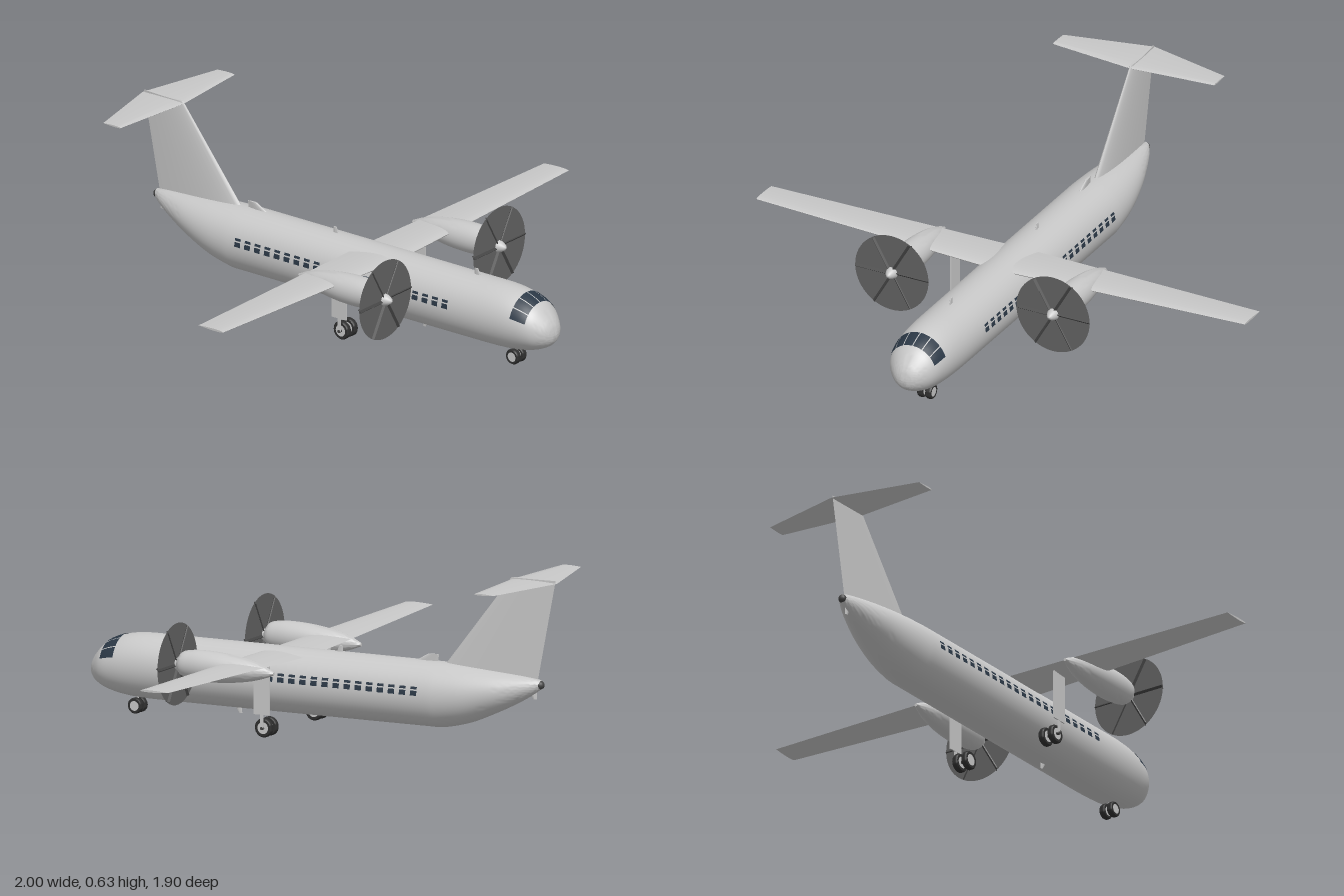
import * as THREE from 'three';
import { toCreasedNormals } from 'three/addons/utils/BufferGeometryUtils.js';

const paint = (name, color, side = THREE.FrontSide) => {
  const m = new THREE.MeshStandardMaterial({ color, side });
  m.name = name;
  return m;
};

// Skin through closed rings of points, capped at both ends, facing outward
function loft(rings, crease = 0.7) {
  const n = rings[0].length, pts = rings.flat(), idx = [];
  for (let r = 0; r < rings.length - 1; r++) {
    for (let i = 0; i < n; i++) {
      const a = r * n + i, b = r * n + (i + 1) % n;
      idx.push(a, b, b + n, a, b + n, a + n);
    }
  }
  const last = (rings.length - 1) * n;
  for (let i = 1; i < n - 1; i++) {
    idx.push(0, i + 1, i, last, last + i, last + i + 1);
  }
  let volume = 0;
  const c = new THREE.Vector3();
  for (let i = 0; i < idx.length; i += 3) {
    volume += pts[idx[i]].dot(c.crossVectors(pts[idx[i + 1]], pts[idx[i + 2]]));
  }
  if (volume < 0) idx.reverse();
  const g = new THREE.BufferGeometry().setFromPoints(pts);
  g.setIndex(idx);
  return toCreasedNormals(g, crease);
}

// Smooth interpolation of stations [z, top, bottom, halfWidth], z descending
function sample(st, z) {
  let i = 0;
  while (i < st.length - 2 && z < st[i + 1][0]) i++;
  const slope = (k, c) => {
    const p = st[Math.max(k - 1, 0)], q = st[Math.min(k + 1, st.length - 1)];
    return (q[c] - p[c]) / (q[0] - p[0]);
  };
  const d = st[i + 1][0] - st[i][0], t = (z - st[i][0]) / d, t2 = t * t, t3 = t2 * t;
  return [1, 2, 3].map((c) => (2 * t3 - 3 * t2 + 1) * st[i][c] + (t3 - 2 * t2 + t) * d * slope(i, c)
    + (3 * t2 - 2 * t3) * st[i + 1][c] + (t3 - t2) * d * slope(i + 1, c));
}

// Point on such a hull; angle is measured from the top towards +x
function hullPoint(st, z, angle, lift = 0) {
  const [top, bottom, w] = sample(st, z);
  return new THREE.Vector3((w + lift) * Math.sin(angle),
    (top + bottom) / 2 + ((top - bottom) / 2 + lift) * Math.cos(angle), z);
}

function hull(st, sides) {
  const rings = [];
  for (let i = 0; i < st.length - 1; i++) {
    for (let k = 0; k < 5; k++) rings.push(st[i][0] + (st[i + 1][0] - st[i][0]) * k / 5);
  }
  rings.push(st[st.length - 1][0]);
  return loft(rings.map((z) => Array.from({ length: sides },
    (_, i) => hullPoint(st, z, i / sides * Math.PI * 2))), 0.9);
}

// Curved pane lying on a hull
function pane(st, z0, z1, a0, a1) {
  const g = new THREE.PlaneGeometry(1, 1, 4, 4), p = g.attributes.position;
  for (let i = 0; i < p.count; i++) {
    const v = hullPoint(st, z0 + (z1 - z0) * (p.getX(i) + 0.5), a0 + (a1 - a0) * (p.getY(i) + 0.5), 0.0018);
    p.setXYZ(i, v.x, v.y, v.z);
  }
  g.computeVertexNormals();
  return g;
}

// Airfoil surface from sections [span, leading z, trailing z, offset, half thickness]
function foil(sections, upright) {
  const n = 28;
  return loft(sections.map(([span, le, te, off, half]) => Array.from({ length: n }, (_, i) => {
    const a = i / n * Math.PI * 2, u = (1 - Math.cos(a)) / 2;
    const t = off + Math.sign(Math.sin(a)) * half * 2.6 * Math.sqrt(u) * (1 - u);
    const z = le + (te - le) * u;
    return upright ? new THREE.Vector3(t, span, z) : new THREE.Vector3(span, t, z);
  })));
}

const FUSELAGE = [
  [0.948, 0.154, 0.144, 0.004], [0.94, 0.185, 0.122, 0.033], [0.92, 0.216, 0.102, 0.06],
  [0.88, 0.256, 0.083, 0.091], [0.82, 0.283, 0.068, 0.106], [0.74, 0.296, 0.06, 0.113],
  [0.62, 0.297, 0.058, 0.116], [-0.45, 0.297, 0.058, 0.116], [-0.5, 0.296, 0.06, 0.115],
  [-0.6, 0.292, 0.084, 0.105], [-0.7, 0.285, 0.126, 0.085], [-0.78, 0.278, 0.165, 0.06],
  [-0.85, 0.27, 0.205, 0.033], [-0.885, 0.264, 0.23, 0.014],
];
const NACELLE = [
  [0.415, 0.293, 0.235, 0.028], [0.4, 0.31, 0.222, 0.042], [0.36, 0.319, 0.213, 0.05],
  [0.3, 0.321, 0.208, 0.055], [0.22, 0.316, 0.211, 0.053], [0.13, 0.302, 0.223, 0.04],
  [0.07, 0.284, 0.239, 0.022], [0.03, 0.266, 0.254, 0.006],
];

export function createModel() {
  const body = paint('body grey', 0xc8c8c8);
  const glass = paint('window glass', 0x2b3846, THREE.DoubleSide);
  const disc = paint('propeller blur', 0x626262, THREE.DoubleSide);
  const dark = paint('blade grey', 0x454545);
  const rubber = paint('tyre rubber', 0x303030);

  const model = new THREE.Group();
  const add = (name, geo, mat, parent = model, x = 0, y = 0, z = 0) => {
    const m = new THREE.Mesh(geo, mat);
    m.name = name;
    m.position.set(x, y, z);
    parent.add(m);
    return m;
  };
  const rad = THREE.MathUtils.degToRad;

  add('fuselage', hull(FUSELAGE, 48), body);
  add('tailCone', new THREE.SphereGeometry(0.016, 16, 10), dark, model, 0, 0.246, -0.882);

  // Cockpit panes
  for (let i = 0; i < 6; i++) {
    const a = -70 + i * 23.6;
    add('cockpitWindow', pane(FUSELAGE, 0.875, 0.815, rad(a), rad(a + 21.5)), glass);
  }
  // Cabin windows, each with a narrow upper and a taller lower pane
  for (const s of [-1, 1]) {
    for (let i = 0; i < 22; i++) {
      const z = 0.54 - i * 0.0453;
      add('cabinWindow', pane(FUSELAGE, z, z - 0.026, s * rad(70.5), s * rad(75)), glass);
      add('cabinWindow', pane(FUSELAGE, z, z - 0.026, s * rad(77.5), s * rad(86)), glass);
    }
  }

  // Flying surfaces
  add('wing', foil([[-1, 0.213, 0.1, 0.292, 0.004], [0, 0.242, 0.05, 0.273, 0.013],
    [1, 0.213, 0.1, 0.292, 0.004]]), body);
  add('fin', foil([[0.26, -0.472, -0.872, 0, 0.018], [0.632, -0.765, -0.945, 0, 0.007]], true), body);
  add('tailplane', foil([[-0.33, -0.79, -0.87, 0.624, 0.003], [0, -0.762, -0.95, 0.622, 0.006],
    [0.33, -0.79, -0.87, 0.624, 0.003]]), body);

  // Blade antennas above and below
  add('frontAntenna', foil([[0.285, 0.605, 0.575, 0, 0.003], [0.32, 0.592, 0.575, 0, 0.002]], true), body);
  add('middleAntenna', foil([[0.285, -0.045, -0.075, 0, 0.003], [0.32, -0.06, -0.075, 0, 0.002]], true), body);
  add('dorsalFairing', foil([[0.285, -0.36, -0.462, 0, 0.005], [0.322, -0.425, -0.468, 0, 0.004]], true), body);
  add('bellyAntenna', foil([[0.065, 0.37, 0.34, 0, 0.003], [0.036, 0.35, 0.338, 0, 0.002]], true), body);
  add('tailAntenna', foil([[0.225, -0.835, -0.868, 0, 0.003], [0.192, -0.852, -0.868, 0, 0.002]], true), body);

  const tyreGeo = (r) => {
    const w = 0.011, h = r * 0.62;
    const profile = [[h, -w], [r * 0.88, -w], [r, -w * 0.5], [r, w * 0.5], [r * 0.88, w], [h, w]];
    return toCreasedNormals(new THREE.LatheGeometry(
      profile.map(([a, b]) => new THREE.Vector2(a, b)), 28), 0.9);
  };
  const wheelPair = (name, x, z, r, gap) => {
    const g = new THREE.Group();
    g.name = name;
    g.position.set(x, r, z);
    for (const s of [-1, 1]) {
      add('tyre', tyreGeo(r), rubber, g, s * gap).rotation.z = Math.PI / 2;
      add('wheelHub', new THREE.CylinderGeometry(r * 0.63, r * 0.63, 0.019, 24), body, g, s * gap)
        .rotation.z = Math.PI / 2;
    }
    add('axle', new THREE.CylinderGeometry(0.005, 0.005, gap * 2, 10), dark, g).rotation.z = Math.PI / 2;
    model.add(g);
    return g;
  };

  // Nose gear
  const nose = wheelPair('noseGear', 0, 0.766, 0.029, 0.0165);
  add('noseStrut', new THREE.CylinderGeometry(0.005, 0.005, 0.05, 10), body, nose, 0, 0.022, 0);

  for (const s of [-1, 1]) {
    // Engine with spinner, blur disc and six blades
    add('nacelle', hull(NACELLE, 32), body, model, s * 0.33);
    const prop = new THREE.Group();
    prop.name = 'propeller';
    prop.position.set(s * 0.33, 0.262, 0.425);
    model.add(prop);
    const spinner = [[0.024, -0.012], [0.023, 0], [0.017, 0.016], [0.009, 0.028], [0, 0.033]]
      .map(([r, h]) => new THREE.Vector2(r, h));
    add('spinner', new THREE.LatheGeometry(spinner, 24), body, prop).rotation.x = Math.PI / 2;
    add('propellerDisc', new THREE.CircleGeometry(0.15, 64), disc, prop);
    for (let i = 0; i < 6; i++) {
      const arm = new THREE.Group();
      arm.rotation.z = i * Math.PI / 3;
      prop.add(arm);
      add('blade', new THREE.BoxGeometry(0.13, 0.016, 0.004), dark, arm, 0.083).rotation.x = 0.75;
    }
    // Main gear hung from a flat leg under the wing
    const gear = wheelPair('mainGear', s * 0.191, 0.134, 0.035, 0.02);
    add('gearLeg', new THREE.BoxGeometry(0.005, 0.19, 0.066), body, gear, s * 0.038, 0.145, 0);
    add('legAxle', new THREE.CylinderGeometry(0.006, 0.006, 0.04, 10), dark, gear, s * 0.022)
      .rotation.z = Math.PI / 2;
    add('legBrace', new THREE.BoxGeometry(0.004, 0.06, 0.012), body, gear, s * 0.038, 0.03, 0);
  }
  return model;
}
